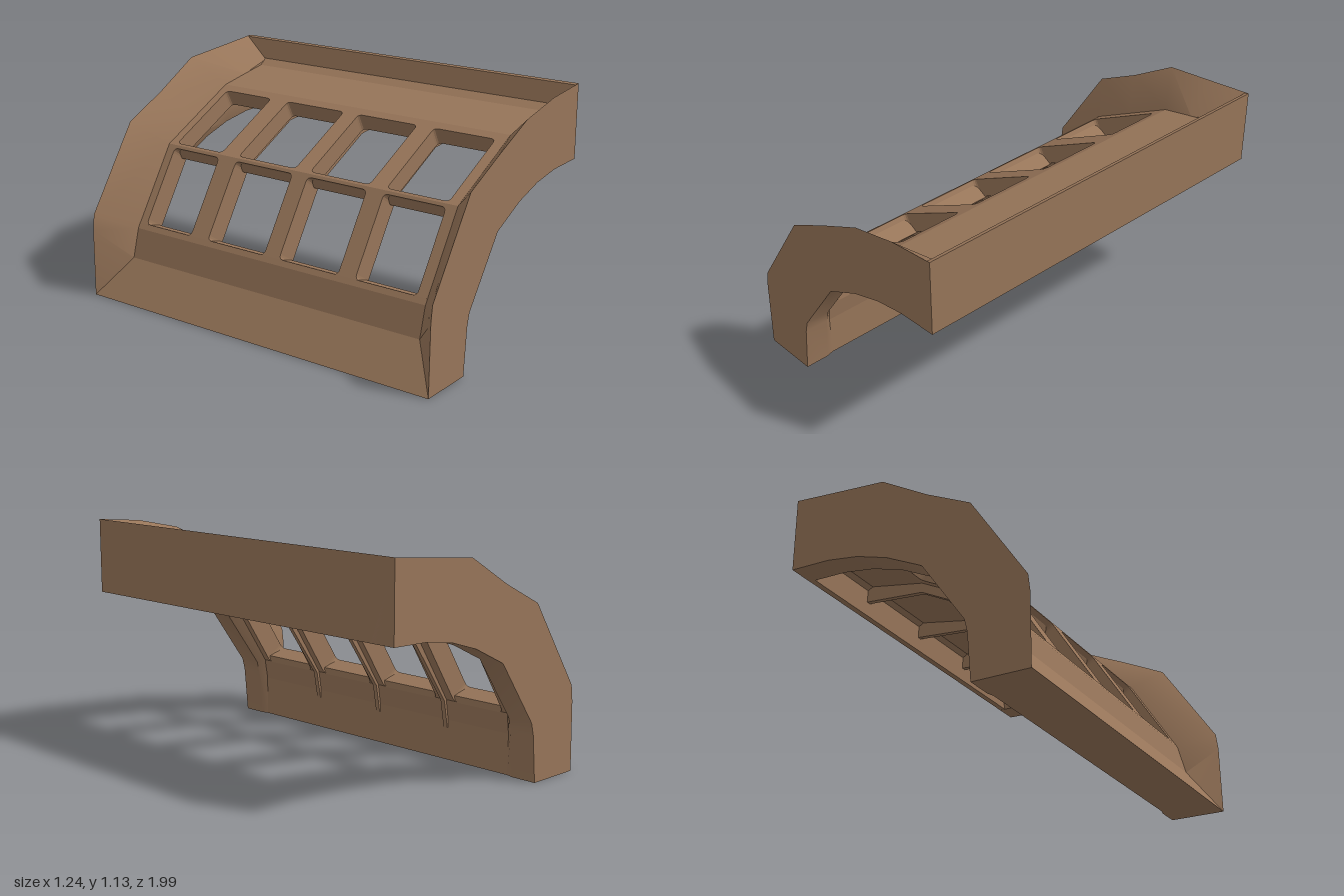
import * as THREE from 'three';
import { toCreasedNormals } from 'three/addons/utils/BufferGeometryUtils.js';

const brown = new THREE.MeshStandardMaterial({ color: 0x977559 });
brown.name = 'brown';

function part(name, geometry) {
  const mesh = new THREE.Mesh(geometry, brown);
  mesh.name = name;
  return mesh;
}

// Prism with an x-y outline, centred at the given z
function prism(points, width, z = 0) {
  const shape = new THREE.Shape(points.map(p => new THREE.Vector2(...p)));
  const g = new THREE.ExtrudeGeometry(shape, { depth: width, bevelEnabled: false });
  return g.translate(0, 0, z - width / 2);
}

// Window opening with softened corners
function opening(u0, u1, v0, v1) {
  const r = 0.025, h = new THREE.Path();
  h.moveTo(u0 + r, v0);
  h.lineTo(u1 - r, v0);
  h.quadraticCurveTo(u1, v0, u1, v0 + r);
  h.lineTo(u1, v1 - r);
  h.quadraticCurveTo(u1, v1, u1 - r, v1);
  h.lineTo(u0 + r, v1);
  h.quadraticCurveTo(u0, v1, u0, v1 - r);
  h.lineTo(u0, v0 + r);
  h.quadraticCurveTo(u0, v0, u0 + r, v0);
  return h;
}

const BAYS = [[-0.81, -0.515], [-0.405, -0.055], [0.035, 0.375], [0.47, 0.8]];

// Slanted plate from a to b (outer edge), thickened inward, with a row of windows
function plate(a, b, thickness, span) {
  const d = new THREE.Vector3(b[0] - a[0], b[1] - a[1], 0);
  const length = d.length(), w = 0.86;
  const shape = new THREE.Shape([
    new THREE.Vector2(0, -w), new THREE.Vector2(length, -w),
    new THREE.Vector2(length, w), new THREE.Vector2(0, w),
  ]);
  if (span) for (const [v0, v1] of BAYS) shape.holes.push(opening(span[0], span[1], v0, v1));
  const g = new THREE.ExtrudeGeometry(shape, { depth: thickness, bevelEnabled: false, curveSegments: 4 });
  d.normalize();
  const z = new THREE.Vector3(0, 0, 1);
  const m = new THREE.Matrix4().makeBasis(d, z, d.clone().cross(z)).setPosition(a[0], a[1], 0);
  return g.applyMatrix4(m);
}

// Stations along the arch: outer rim, panel outside, panel inside, inner rim
const STATIONS = [
  [[-0.62, 0], [-0.62, 0], [-0.35, 0], [-0.34, 0]],
  [[-0.615, 0.34], [-0.485, 0.19], [-0.35, 0.2], [-0.32, 0.23]],
  [[-0.605, 0.42], [-0.445, 0.335], [-0.335, 0.31], [-0.305, 0.29]],
  [[-0.325, 0.84], [-0.2, 0.72], [-0.12, 0.65], [-0.085, 0.6]],
  [[-0.1, 0.95], [0, 0.822], [0.04, 0.74], [0.1, 0.69]],
  [[0.14, 1.075], [0.24, 0.945], [0.26, 0.855], [0.26, 0.74]],
  [[0.38, 1.112], [0.4, 0.976], [0.4, 0.885], [0.42, 0.765]],
  [[0.62, 1.135], [0.575, 1.025], [0.575, 0.91], [0.62, 0.77]],
];

// End wall: sloped outside, stepped inside, flat on the end
function endWall(side) {
  const end = side > 0 ? 0.992 : -1;
  const loops = STATIONS.map(([p, q, r, s], i) => {
    const lift = i === 5 ? -0.015 * side : 0;
    return [[p[0], p[1] + lift, end], [...q, 0.855 * side], [...r, 0.835 * side],
      [...s, 0.87 * side], [...s, end]];
  });
  const pos = [];
  const tri = (a, b, c) => pos.push(...a, ...(side > 0 ? b : c), ...(side > 0 ? c : b));
  for (let i = 0; i < loops.length - 1; i++) {
    for (let j = 0; j < 5; j++) {
      const k = (j + 1) % 5, A = loops[i], B = loops[i + 1];
      tri(A[j], B[j], B[k]);
      tri(A[j], B[k], A[k]);
    }
  }
  const first = loops[0], last = loops[loops.length - 1];
  for (let j = 1; j < 4; j++) {
    tri(first[0], first[j], first[j + 1]);
    tri(last[0], last[j + 1], last[j]);
  }
  const g = new THREE.BufferGeometry();
  g.setAttribute('position', new THREE.Float32BufferAttribute(pos, 3));
  return toCreasedNormals(g, 0.55);
}

export function createModel() {
  const model = new THREE.Group();
  model.name = 'archedWindowShell';

  // Sloping foot and window sill
  model.add(part('base', prism([[-0.62, 0], [-0.35, 0], [-0.35, 0.2], [-0.335, 0.298],
    [-0.338, 0.33], [-0.43, 0.36], [-0.445, 0.335], [-0.485, 0.19]], 1.72)));

  // Two window rows and the plain top panel
  model.add(part('lowerWindowPanel', plate([-0.445, 0.335], [-0.2, 0.72], 0.11, [0.03, 0.44])));
  model.add(part('upperWindowPanel', plate([-0.2, 0.72], [0.24, 0.945], 0.09, [0.015, 0.45])));
  model.add(part('topPanel', plate([0.24, 0.945], [0.57, 1.009], 0.09)));

  // Upright lip along the high edge
  model.add(part('lip', prism([[0.62, 0.77], [0.62, 1.135], [0.6, 1.13], [0.575, 1.03],
    [0.53, 1.001], [0.53, 0.93], [0.585, 0.9], [0.59, 0.77]], 1.992, -0.004)));

  // Thick arched walls at both ends
  for (const side of [1, -1]) model.add(part(side > 0 ? 'frontEndWall' : 'backEndWall', endWall(side)));

  // Thin ribs on the underside between the windows
  for (const z of [0.425, -0.005, -0.455]) {
    model.add(part('rib', prism([[-0.345, 0.16], [-0.32, 0.3], [-0.1, 0.62], [0.27, 0.81], [0.6, 0.84],
      [0.6, 0.92], [0.24, 0.9], [-0.17, 0.68], [-0.4, 0.34], [-0.4, 0.16]], 0.024, z)));
  }
  return model;
}
